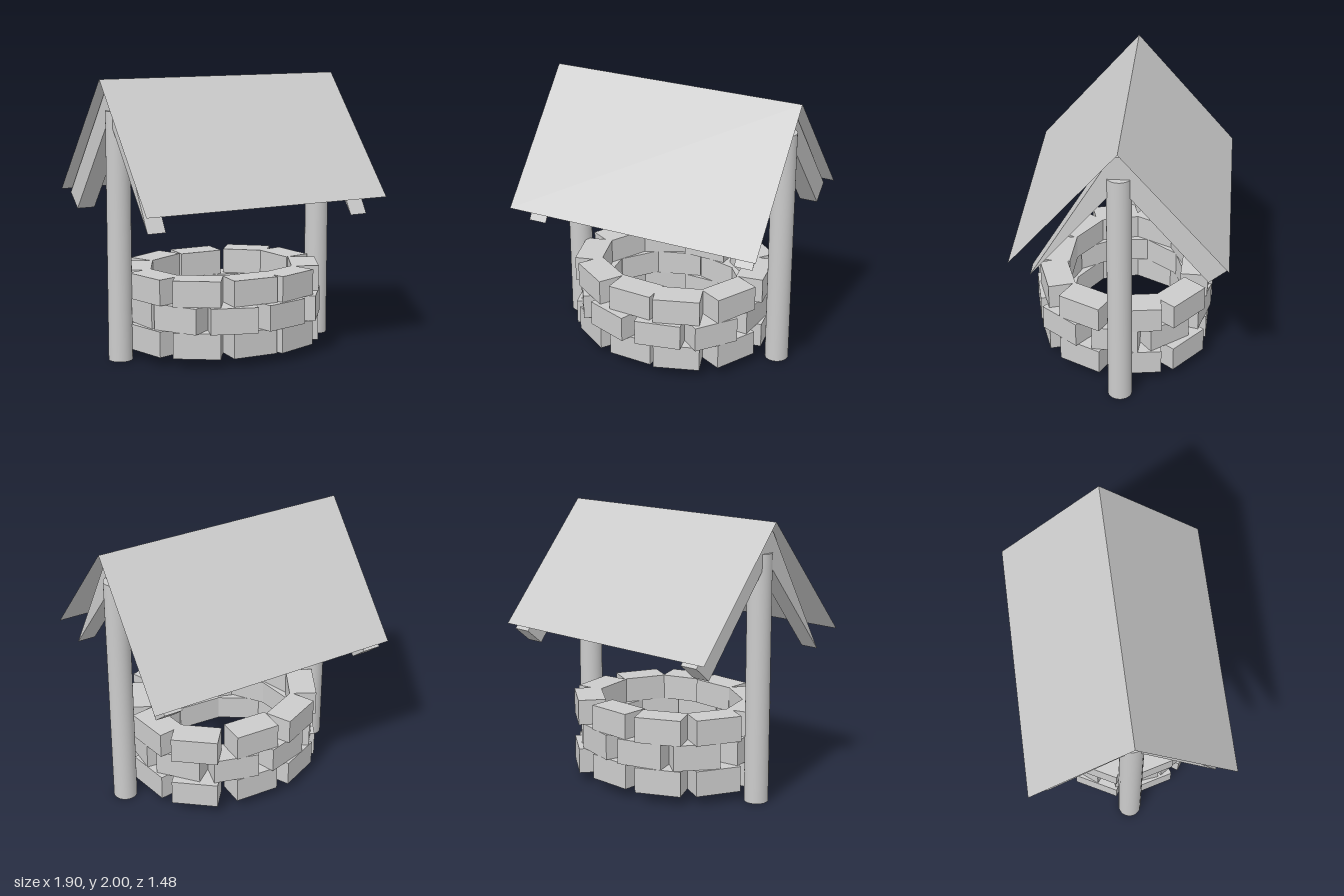
import * as THREE from 'three';

const grey = new THREE.MeshStandardMaterial({ color: 0xcccccc });
const sheet = new THREE.MeshStandardMaterial({ color: 0xcccccc, side: THREE.DoubleSide });

function add(parent, name, geometry, material = grey) {
  const mesh = new THREE.Mesh(geometry, material);
  mesh.name = name;
  parent.add(mesh);
  return mesh;
}

// Bricks of a course: middle of the outer face (x, z) and the heading in degrees from +z
const evenCourse = [
  [-0.06, 0.625, -3], [0.3, 0.6, 18], [0.64, 0.31, 63], [0.7, -0.12, 98], [0.51, -0.475, 141],
  [0.055, -0.6, 178], [-0.36, -0.54, 205], [-0.67, -0.24, 242], [-0.71, 0.18, -75], [-0.46, 0.5, -33],
];
const oddCourse = [
  [0.18, 0.66, 12], [0.553, 0.465, 52], [0.69, 0.05, 86], [0.57, -0.34, 129], [0.22, -0.58, 165],
  [-0.22, -0.58, 197], [-0.57, -0.36, 232], [-0.7, 0.07, -83], [-0.58, 0.4, -57], [-0.24, 0.645, -20],
];

// Round-topped pair of rafters, drawn in the z-y plane and extruded along x
function rafterGeometry() {
  const slope = THREE.MathUtils.degToRad(50);
  const apex = 1.86, half = 0.083, length = 1.04, thickness = 0.135;
  const c = Math.cos(slope), s = Math.sin(slope);
  const outer = [c * length + s * half, apex - s * length + c * half];
  const inner = [c * length - s * half, apex - s * length - c * half];
  const shape = new THREE.Shape();
  shape.moveTo(outer[0], outer[1]);
  shape.absarc(0, apex, half, Math.PI / 2 - slope, Math.PI / 2 + slope, false);
  shape.lineTo(-outer[0], outer[1]);
  shape.lineTo(-inner[0], inner[1]);
  shape.lineTo(0, apex - half / c);
  shape.lineTo(inner[0], inner[1]);
  shape.closePath();
  return new THREE.ExtrudeGeometry(shape, { depth: thickness, bevelEnabled: false, curveSegments: 16 })
    .translate(0, 0, -thickness / 2)
    .rotateY(-Math.PI / 2);
}

export function createModel() {
  const model = new THREE.Group();
  model.name = 'well';

  // Three staggered courses of loose bricks
  const [length, height, depth] = [0.335, 0.185, 0.2];
  const brick = new THREE.BoxGeometry(length, height, depth).translate(0, 0, -depth / 2);
  [evenCourse, oddCourse, evenCourse].forEach((course, row) => {
    const ring = new THREE.Group();
    ring.name = `brickCourse${row + 1}`;
    for (const [x, z, degrees] of course) {
      const mesh = add(ring, 'brick', brick);
      mesh.position.set(x, 0.0725 + height * (row + 0.5), z);
      mesh.rotation.y = THREE.MathUtils.degToRad(degrees);
    }
    model.add(ring);
  });

  // Posts with the rafters on their heads
  const post = new THREE.CylinderGeometry(0.086, 0.086, 1.78, 32);
  const rafters = rafterGeometry();
  for (const [side, postX, rafterX] of [['right', -0.815, -0.812], ['left', 0.833, 0.805]]) {
    add(model, `${side}Post`, post).position.set(postX, 0.89, 0);
    add(model, `${side}Rafters`, rafters).position.x = rafterX;
  }

  // Two thin roof sheets meeting at the ridge
  const run = 0.74, eaves = 1.145, ridge = 2;
  const panel = new THREE.PlaneGeometry(1.9, Math.hypot(run, ridge - eaves));
  for (const [name, side] of [['frontRoof', 1], ['backRoof', -1]]) {
    const mesh = add(model, name, panel, sheet);
    mesh.position.set(0, (ridge + eaves) / 2, side * run / 2);
    mesh.rotation.x = -side * Math.atan2(run, ridge - eaves);
  }
  // Turn the back sheet's outside face outwards
  const back = model.getObjectByName('backRoof');
  back.rotation.set(-back.rotation.x, Math.PI, 0, 'YXZ');

  return model;
}
